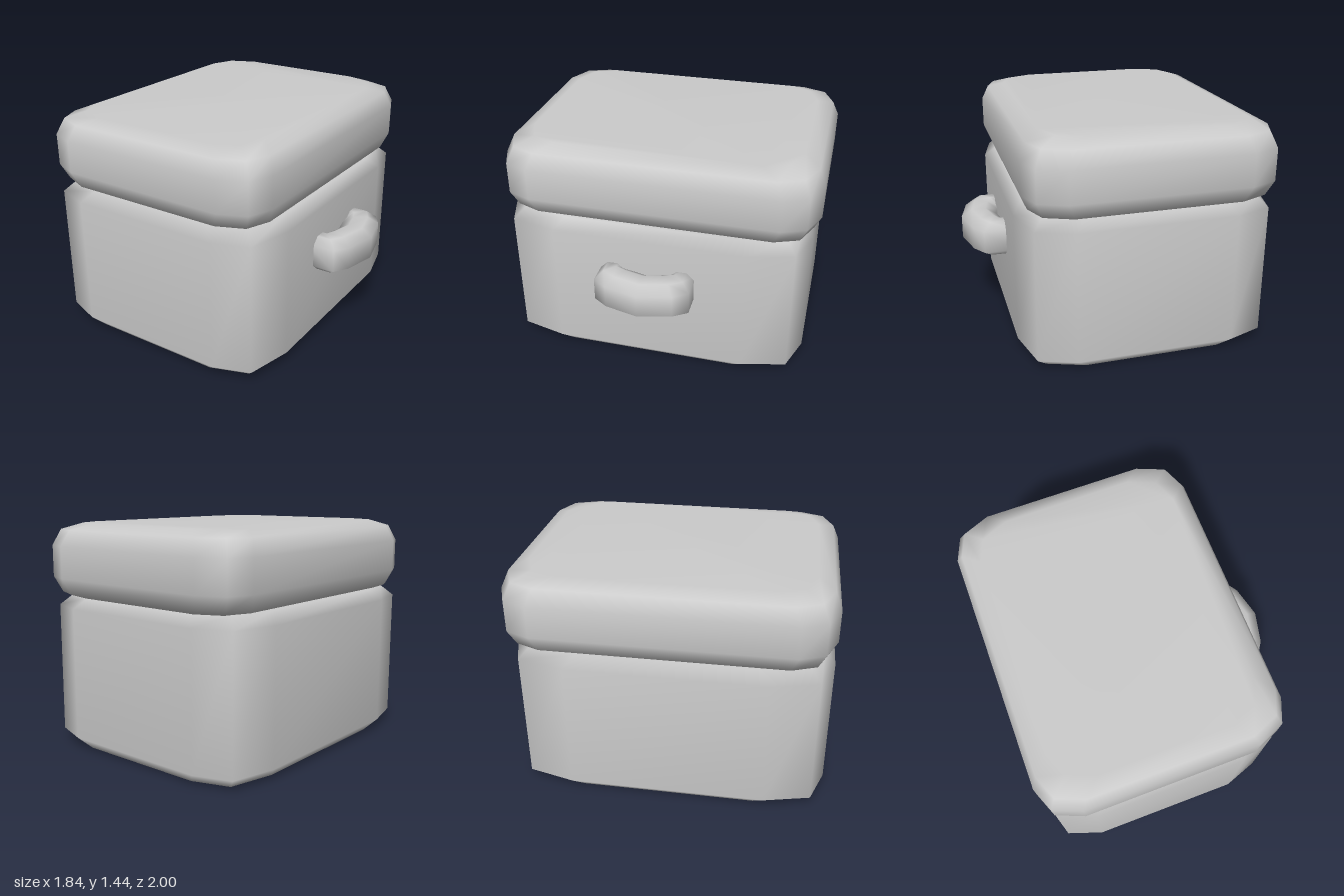
import * as THREE from 'three';

const material = new THREE.MeshStandardMaterial({ color: 0xcccccc });

// Skins a stack of equal-length closed loops and caps both ends (smooth shared normals).
function loft(name, rings) {
  const n = rings[0].length;
  const index = [];
  for (let r = 0; r < rings.length - 1; r++) {
    for (let i = 0; i < n; i++) {
      const a = r * n + i, b = r * n + (i + 1) % n;
      index.push(a, b, b + n, a, b + n, a + n);
    }
  }
  const top = (rings.length - 1) * n;
  for (let i = 1; i < n - 1; i++) {
    index.push(0, i + 1, i, top, top + i, top + i + 1);
  }
  const geometry = new THREE.BufferGeometry();
  geometry.setAttribute('position', new THREE.Float32BufferAttribute(rings.flat(2), 3));
  geometry.setIndex(index);
  geometry.computeVertexNormals();
  const mesh = new THREE.Mesh(geometry, material);
  mesh.name = name;
  return mesh;
}

// Horizontal rectangle with three points at each corner, counter-clockwise from above.
// corner: long setbacks (ax, az) and the inset of the middle point (dx, dz).
function roundedRing(y, cx, cz, hx, hz, { ax, az, dx, dz }) {
  const ring = [];
  for (const [sx, sz] of [[1, -1], [-1, -1], [-1, 1], [1, 1]]) {
    const points = [[hx, hz - az], [hx - dx, hz - dz], [hx - ax, hz]];
    if (sx * sz > 0) points.reverse();
    for (const [x, z] of points) ring.push([cx + sx * x, y, cz + sz * z]);
  }
  return ring;
}

export function createModel() {
  const group = new THREE.Group();
  group.name = 'chest';

  // Body: tall box with softly bevelled edges, [height, inset]
  const bodyCorner = { ax: 0.3, az: 0.37, dx: 0.07, dz: 0.08 };
  const bodyProfile = [[0, 0.065], [0.07, 0], [0.91, 0], [0.98, 0.065]];
  group.add(loft('body', bodyProfile.map(([y, e]) =>
    roundedRing(y, -0.125, 0.02, 0.795 - e, 0.98 - e, bodyCorner))));

  // Lid: thick pillow-shaped slab, [height, inset]
  const lidCorner = { ax: 0.23, az: 0.22, dx: 0.06, dz: 0.07 };
  const lidProfile = [[0.965, 0.13], [1.0, 0.04], [1.1, 0], [1.3, 0], [1.4, 0.04], [1.44, 0.14]];
  group.add(loft('lid', lidProfile.map(([y, e]) =>
    roundedRing(y, -0.13, 0, 0.78 - e, 1 - e, lidCorner))));

  // Handle: octagonal section swept in a shallow bow, [innerX, innerZ, outerX, outerZ] from its middle
  const half = [[0.6, -0.15, 0.62, -0.3], [0.655, -0.14, 0.81, -0.3], [0.67, -0.08, 0.87, -0.21]];
  const mirrored = half.map(([ix, iz, ox, oz]) => [ix, -iz, ox, -oz]).reverse();
  const stations = [...half, [0.69, 0, 0.92, 0], ...mirrored];
  const section = [[1, 0.54], [1, 0.685], [0.7, 0.73], [0.3, 0.73],
    [0, 0.685], [0, 0.54], [0.3, 0.5], [0.7, 0.5]];
  group.add(loft('handle', stations.map(([ix, iz, ox, oz]) =>
    section.map(([t, y]) => [ix + (ox - ix) * t, y, 0.02 + iz + (oz - iz) * t]))));

  return group;
}
